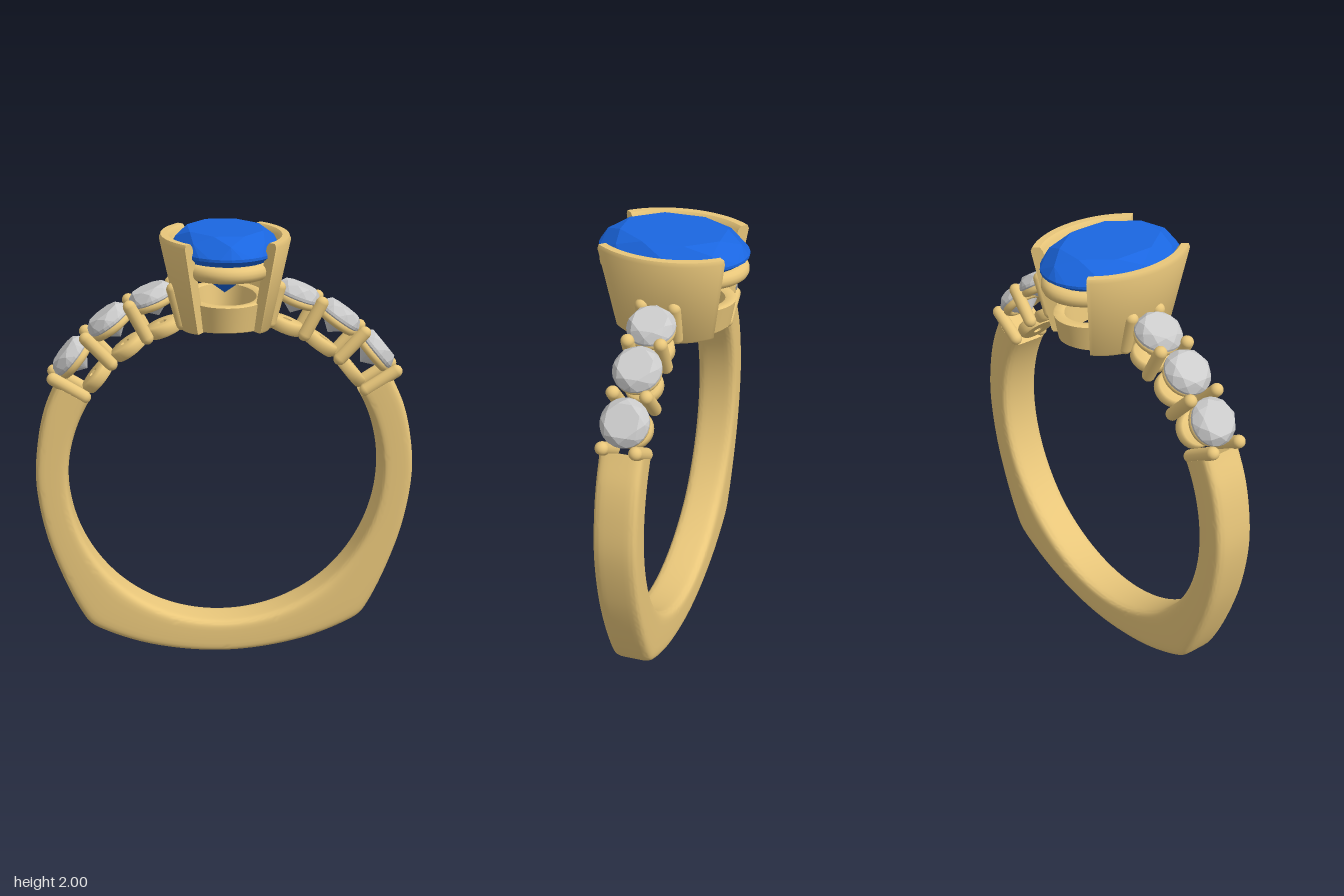
import * as THREE from 'three';
import { toCreasedNormals } from 'three/addons/utils/BufferGeometryUtils.js';
import { ConvexGeometry } from 'three/addons/geometries/ConvexGeometry.js';

const CY = 0.87;      // height of the finger hole's centre
const HOLE = 0.715;   // radius of the finger hole
const rad = THREE.MathUtils.degToRad;
const lerp = THREE.MathUtils.lerp;
const V = (x, y, z) => new THREE.Vector3(x, y, z);

const gold = new THREE.MeshStandardMaterial({ color: 0xe8c67a });
const blue = new THREE.MeshStandardMaterial({ color: 0x1a66e0, flatShading: true });
const clear = new THREE.MeshStandardMaterial({ color: 0xcccccc, flatShading: true });

function add(parent, name, geometry, material) {
  const mesh = new THREE.Mesh(geometry, material);
  mesh.name = name;
  parent.add(mesh);
  return mesh;
}

// Skin over a row of closed sections; the row is either closed or capped
function loft(sections, closed, crease = 0.7) {
  const n = sections[0].length, m = sections.length;
  const pts = sections.flat();
  const tris = [];
  for (let i = 0; i < (closed ? m : m - 1); i++) {
    for (let j = 0; j < n; j++) {
      const k = (j + 1) % n, i2 = (i + 1) % m;
      const a = i * n + j, b = i * n + k, c = i2 * n + k, d = i2 * n + j;
      tris.push([a, b, c], [a, c, d]);
    }
  }
  if (!closed) {
    for (const [row, flip] of [[0, true], [m - 1, false]]) {
      const mid = V(0, 0, 0);
      sections[row].forEach((p) => mid.addScaledVector(p, 1 / n));
      const centre = pts.push(mid) - 1;
      for (let j = 0; j < n; j++) {
        const a = row * n + j, b = row * n + (j + 1) % n;
        tris.push(flip ? [centre, b, a] : [centre, a, b]);
      }
    }
  }
  // turn the skin outwards
  let volume = 0;
  for (const [a, b, c] of tris) volume += pts[a].dot(V(0, 0, 0).crossVectors(pts[b], pts[c]));
  if (volume < 0) tris.forEach((t) => t.reverse());
  const geometry = new THREE.BufferGeometry().setFromPoints(pts);
  geometry.setIndex(tris.flat());
  return toCreasedNormals(geometry, crease);
}

// Brilliant-cut gem with its girdle at y = 0
function gemGeometry(rx, rz, crown, pavilion, sides) {
  const pts = [V(0, -pavilion, 0)];
  const ring = (count, scale, y, shift) => {
    for (let i = 0; i < count; i++) {
      const a = ((i + shift) / count) * Math.PI * 2;
      pts.push(V(Math.cos(a) * rx * scale, y, Math.sin(a) * rz * scale));
    }
  };
  ring(8, 0.72, crown, 0.5);
  ring(8, 0.9, crown * 0.6, 0);
  ring(sides, 1, 0, 0);
  ring(sides, 1, -0.012, 0);
  ring(8, 0.6, -pavilion * 0.48, 0.5);
  return new ConvexGeometry(pts);
}

// Band: rounded section between the finger hole and the outer outline
function bandGeometry() {
  const half = [[0.2, -0.855], [0.4, -0.812], [0.57, -0.745], [0.635, -0.705], [0.675, -0.645], [0.75, -0.48],
    [0.825, -0.25], [0.861, 0], [0.846, 0.18], [0.812, 0.32], [0.755, 0.45]];
  const outline = [
    ...half.map(([x, y]) => V(-x, y, 0)).reverse(),
    V(0, -0.87, 0),
    ...half.map(([x, y]) => V(x, y, 0)),
  ];
  const round = (c) => Math.sign(c) * Math.abs(c) ** 0.36;
  const sections = new THREE.CatmullRomCurve3(outline).getSpacedPoints(160).map((outer) => {
    const inner = outer.clone().setLength(HOLE);
    return Array.from({ length: 36 }, (_, j) => {
      const a = ((j + 0.5) / 36) * Math.PI * 2;
      const p = inner.clone().lerp(outer, 0.5 + 0.5 * round(Math.cos(a)));
      return V(p.x, p.y + CY, 0.096 * round(Math.sin(a)));
    });
  });
  return loft(sections, false);
}

// Tapered oval wall whose foot follows the finger hole.
// lo and hi are the inner radii [x, z] at foot and rim.
function ovalWall(lo, hi, thick, top, from, to, closed) {
  const profile = [[0, 0], [0, 0.96], [0.2, 1], [0.8, 1], [1, 0.96], [1, 0.03], [0.9, 0]];
  const steps = closed ? 72 : 32;
  const sections = [];
  for (let i = 0; i < (closed ? steps : steps + 1); i++) {
    const a = lerp(from, to, i / steps);
    sections.push(profile.map(([u, f]) => {
      const x = Math.cos(a) * (lerp(lo[0], hi[0], f) + u * thick);
      const z = Math.sin(a) * (lerp(lo[1], hi[1], f) + u * thick);
      const foot = CY + Math.sqrt(HOLE * HOLE - x * x);
      return V(x, lerp(foot, top, f), z);
    }));
  }
  return loft(sections, closed);
}

function createHead() {
  const head = new THREE.Group();
  head.name = 'head';

  // Centre stone
  add(head, 'centreStone', gemGeometry(0.24, 0.33, 0.08, 0.21, 32), blue).position.y = 1.92;

  // Two half bezels hold the stone at its sides
  for (const [name, turn] of [['leftBezel', 0], ['rightBezel', Math.PI]]) {
    const wall = ovalWall([0.15, 0.24], [0.24, 0.325], 0.052, 1.975, rad(-48), rad(48), false);
    add(head, name, wall, gold).rotation.y = turn;
  }

  // Lower gallery ring
  add(head, 'lowerGallery', ovalWall([0.12, 0.205], [0.14, 0.228], 0.048, 1.705, 0, Math.PI * 2, true), gold);

  // Upper gallery rail below the girdle
  const oval = [];
  for (let i = 0; i < 32; i++) {
    const a = (i / 32) * Math.PI * 2;
    oval.push(V(Math.cos(a) * 0.19, 1.845, Math.sin(a) * 0.294));
  }
  const path = new THREE.CatmullRomCurve3(oval, true);
  add(head, 'upperGallery', new THREE.TubeGeometry(path, 80, 0.036, 14, true), gold);
  return head;
}

// One shoulder: three set stones between four pairs of prongs
function createShoulder(name, side) {
  const shoulder = new THREE.Group();
  shoulder.name = name;
  shoulder.position.y = CY;
  const spoke = (label, degrees) => {
    const group = new THREE.Group();
    group.name = label;
    group.rotation.z = -side * rad(90 - degrees);
    shoulder.add(group);
    return group;
  };

  const washer = [[0.022, 0], [0.075, 0], [0.084, 0.012], [0.084, 0.045], [0.075, 0.055], [0.022, 0.055], [0.022, 0]];
  const base = toCreasedNormals(
    new THREE.LatheGeometry(washer.map(([r, y]) => new THREE.Vector2(r, y)), 32), 0.9);
  const seat = new THREE.TorusGeometry(0.082, 0.02, 12, 36).rotateX(Math.PI / 2);
  const stone = gemGeometry(0.105, 0.105, 0.042, 0.095, 24);
  for (const degrees of [68.5, 54.5, 39.5]) {
    const setting = spoke('stoneSetting', degrees);
    add(setting, 'sideStone', stone, clear).position.y = 0.893;
    add(setting, 'seatRing', seat, gold).position.y = 0.862;
    add(setting, 'settingBase', base, gold).position.y = 0.712;
  }

  const prong = new THREE.CapsuleGeometry(0.029, 0.16, 6, 16);
  for (const degrees of [75, 62, 46.8, 32]) {
    const pair = spoke('prongPair', degrees);
    for (const z of [-0.072, 0.072]) add(pair, 'prong', prong, gold).position.set(0, 0.825, z);
  }
  return shoulder;
}

export function createModel() {
  const ring = new THREE.Group();
  ring.name = 'ring';
  add(ring, 'band', bandGeometry(), gold);
  ring.add(createHead(), createShoulder('leftShoulder', 1), createShoulder('rightShoulder', -1));
  return ring;
}
